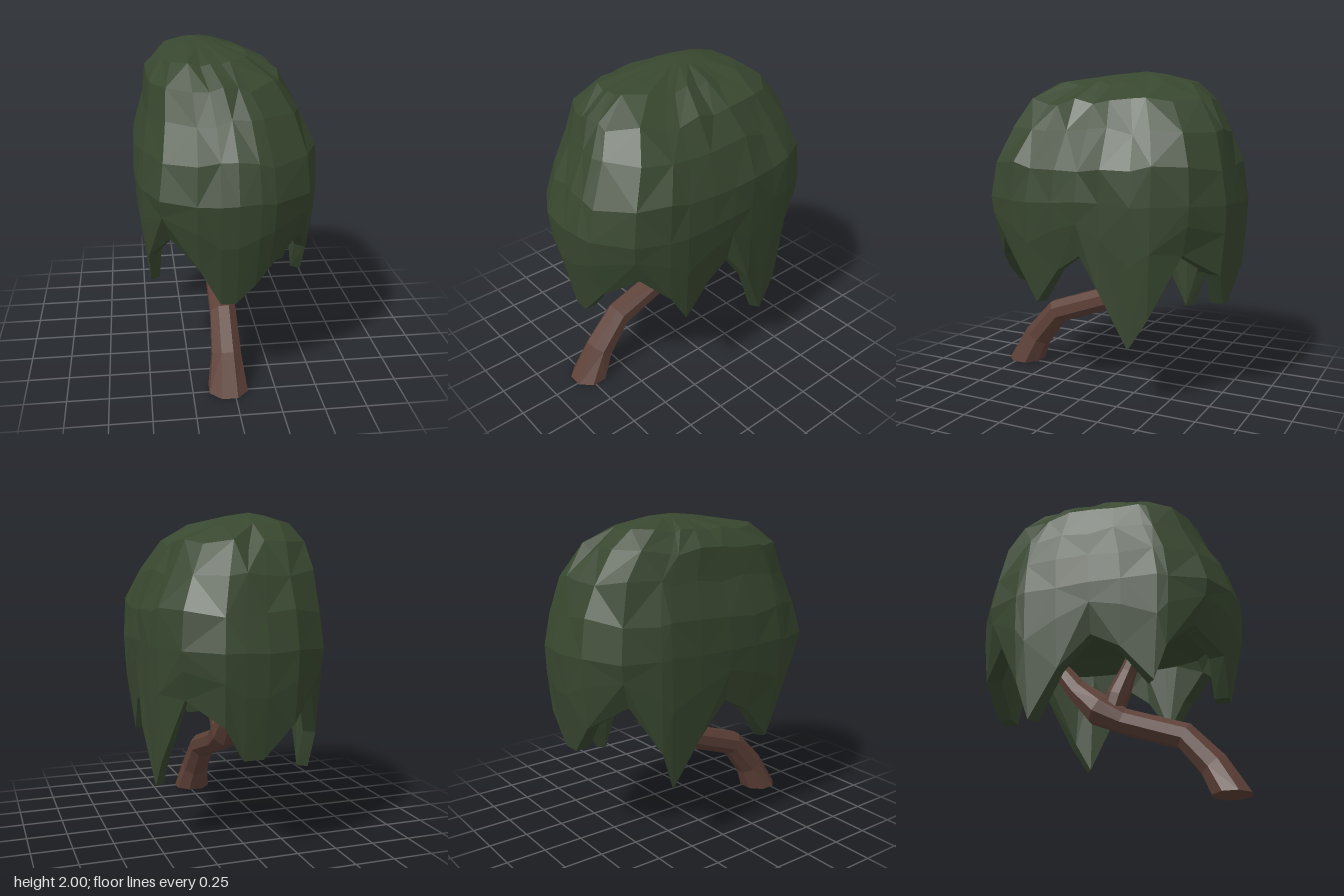
import * as THREE from 'three';

const leaf = new THREE.MeshStandardMaterial({ color: 0x38472f });
leaf.name = 'dark green leaves';
const bark = new THREE.MeshStandardMaterial({ color: 0x5d4037 });
bark.name = 'brown bark';

// Faceted skin through rings of equal point count, turning counter-clockwise about the path
function loft(rings) {
  const pos = [];
  const tri = (...pts) => pts.forEach(p => pos.push(p.x, p.y, p.z));
  for (let k = 0; k + 1 < rings.length; k++) {
    const a = rings[k], b = rings[k + 1], n = a.length;
    for (let i = 0; i < n; i++) {
      const j = (i + 1) % n;
      if ((i + k) % 2) {
        tri(a[i], a[j], b[j]);
        tri(a[i], b[j], b[i]);
      } else {
        tri(a[i], a[j], b[i]);
        tri(a[j], b[j], b[i]);
      }
    }
  }
  const g = new THREE.BufferGeometry();
  g.setAttribute('position', new THREE.Float32BufferAttribute(pos, 3));
  g.computeVertexNormals();
  return g;
}

// Eight-sided limb along [x, y, z, radius] points, bending in the yz plane
function limb(path) {
  const c = path.map(p => new THREE.Vector3(p[0], p[1], p[2]));
  const X = new THREE.Vector3(1, 0, 0);
  const rings = path.map((p, k) => {
    const t = c[Math.min(k + 1, c.length - 1)].clone().sub(c[Math.max(k - 1, 0)]);
    if (p[1] === 0) t.set(0, 1, 0);
    t.x = 0;
    const v = t.normalize().cross(X);
    return Array.from({ length: 8 }, (_, i) => {
      const a = (i + 0.5) * Math.PI / 4;
      return c[k].clone().addScaledVector(X, p[3] * Math.cos(a)).addScaledVector(v, p[3] * Math.sin(a));
    });
  });
  rings.unshift(Array(8).fill(c[0]));
  rings.push(Array(8).fill(c[c.length - 1]));
  return loft(rings);
}

// Ragged lower edge of the leaves, from the left side round by the front
const hem = [
  [.5, .9, 0], [.5, .8, .15], [.48, .58, .31], [.48, .78, .43], [.4, .95, .6],
  [.2, .8, .74], [.12, .7, .75], [.01, .58, .74], [-.08, .58, .74], [-.2, .8, .74],
  [-.36, .95, .6], [-.48, .78, .45], [-.47, .58, .37], [-.5, .8, .18], [-.5, .9, 0],
  [-.51, .7, -.2], [-.48, .41, -.38], [-.49, .65, -.46], [-.38, .94, -.62],
  [-.2, .8, -.79], [-.02, .6, -.77], [.1, .6, -.77], [.22, .8, -.79], [.4, .94, -.62],
  [.49, .55, -.44], [.5, .36, -.32], [.54, .7, -.15],
].reverse();

function canopy() {
  let seed = 7;
  const rnd = () => (seed = (seed * 16807) % 2147483647) / 2147483647 - 0.5;
  // Rounded-box ring: height, half width, half depth, centre x, centre z, roughness
  const ring = ([y, rx, rz, cx = 0, cz = 0, rough = 0]) => hem.map(([hx, , hz]) => {
    const n = 3;
    const s = (Math.abs(hx / rx) ** n + Math.abs(hz / rz) ** n) ** (-1 / n) * (1 + rough * rnd());
    return new THREE.Vector3(cx + hx * s, y + rough * rnd() * 1.2, cz + hz * s);
  });
  const pole = (x, y, z) => hem.map(() => new THREE.Vector3(x, y, z));
  const widest = ring([1.22, .55, .838, 0, 0, .02]);
  // skirt easing from the hem out to the widest ring
  const skirt = hem.map(([x, y, z], i) => new THREE.Vector3(
    x + (widest[i].x - x) * .8, y + (widest[i].y - y) * .6, z + (widest[i].z - z) * .8));
  return loft([
    // hollow underside
    pole(0, 1.14, 0),
    ring([1.11, .28, .42]),
    ring([1.03, .41, .64]),
    hem.map(([x, y, z]) => new THREE.Vector3(x * .88, y, z * .88)),
    // hanging fringe
    hem.map(p => new THREE.Vector3(...p)),
    skirt,
    widest,
    // dome
    ...[
      [1.43, .54, .78, 0, -.01, .04],
      [1.64, .465, .705, -.02, -.03, .04],
      [1.81, .395, .6, -.06, -.01, .04],
      [1.92, .26, .45, -.11, -.04, .03],
      [1.98, .1, .17, -.13, -.12, 0],
    ].map(ring),
    pole(-.15, 2, -.15),
  ]);
}

export function createModel() {
  const group = new THREE.Group();
  group.name = 'leaningTree';
  const add = (name, geometry, material) => {
    const m = new THREE.Mesh(geometry, material);
    m.name = name;
    group.add(m);
  };
  add('canopy', canopy(), leaf);
  add('trunk', limb([
    [-.035, 0, .72, .125], [-.035, .18, .625, .095], [-.035, .375, .46, .085],
    [-.035, .51, .08, .08], [-.035, .6, -.08, .105], [-.02, .75, -.23, .075],
    [0, .95, -.38, .06], [0, 1.16, -.46, .04],
  ]), bark);
  add('branch', limb([
    [-.035, .55, 0, .07], [-.035, .68, .04, .075], [-.045, .83, .11, .055],
    [-.06, 1.0, .19, .045], [-.06, 1.16, .25, .03],
  ]), bark);
  return group;
}
